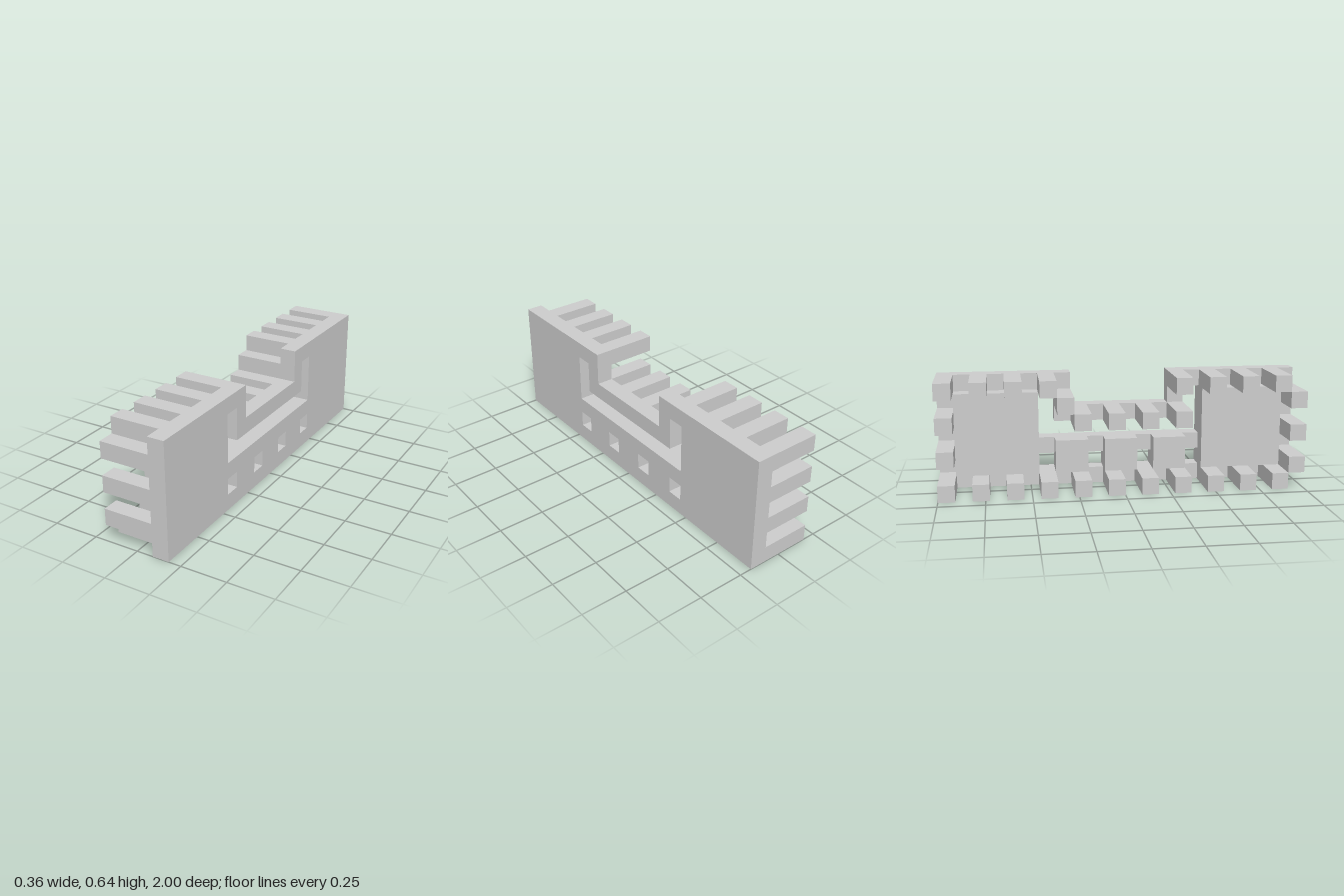
import * as THREE from 'three';

const U = 1 / 11;              // one grid unit
const LENGTH = 22, HEIGHT = 7; // panel size in units

export function createModel() {
  const group = new THREE.Group();
  const material = new THREE.MeshStandardMaterial({ color: 0xcccccc, flatShading: true });

  // Box given by its limits in grid units
  const block = (name, x0, x1, y0, y1, z0, z1) => {
    const geo = new THREE.BoxGeometry((x1 - x0) * U, (y1 - y0) * U, (z1 - z0) * U);
    const mesh = new THREE.Mesh(geo, material);
    mesh.position.set((x0 + x1) / 2 * U, (y0 + y1) / 2 * U, (z0 + z1) / 2 * U);
    mesh.name = name;
    group.add(mesh);
  };
  const points = (list) => list.map(([a, b]) => new THREE.Vector2(a * U, b * U));

  // Outer plate: notched outline, U-shaped slot and four square windows
  const outline = new THREE.Shape(points([
    [-11, 0], [11, 0], [11, 7], [3, 7], [3, 5], [-3, 5], [-3, 7], [-11, 7],
  ]));
  outline.holes.push(new THREE.Path(points([
    [-5, 3], [-5, 6], [-4, 6], [-4, 4], [4, 4], [4, 6], [5, 6], [5, 3],
  ])));
  for (const a of [-5, -2, 1, 4]) {
    outline.holes.push(new THREE.Path(points([[a, 1], [a, 2], [a + 1, 2], [a + 1, 1]])));
  }
  const plateGeo = new THREE.ExtrudeGeometry(outline, { depth: U, bevelEnabled: false });
  plateGeo.rotateY(Math.PI / 2).translate(U, 0, 0);
  const plate = new THREE.Mesh(plateGeo, material);
  plate.name = 'outerPlate';
  group.add(plate);

  // Raised pads on the inner side of the plate
  for (const [z0, z1, top] of [[-10, -5, 6], [-4, -2, 3], [-1, 1, 3], [2, 4, 3], [5, 10, 6]]) {
    block('innerPad', 0, 1, 1, top, z0, z1);
  }

  // Teeth on every second cell of the one-unit rim around the outline
  const solid = (k, j) =>
    k >= 0 && k < LENGTH && j >= 0 && j < HEIGHT && !(k >= 8 && k < 14 && j >= 5);
  const onRim = (k, j) => {
    for (let a = -1; a <= 1; a++) {
      for (let b = -1; b <= 1; b++) if (!solid(k + a, j + b)) return true;
    }
    return false;
  };
  for (let k = 0; k < LENGTH; k++) {
    for (let j = 0; j < HEIGHT; j++) {
      if ((k + j) % 2 === 0 && solid(k, j) && onRim(k, j)) {
        block('tooth', -2, 1, j, j + 1, k - 11, k - 10);
      }
    }
  }
  return group;
}
